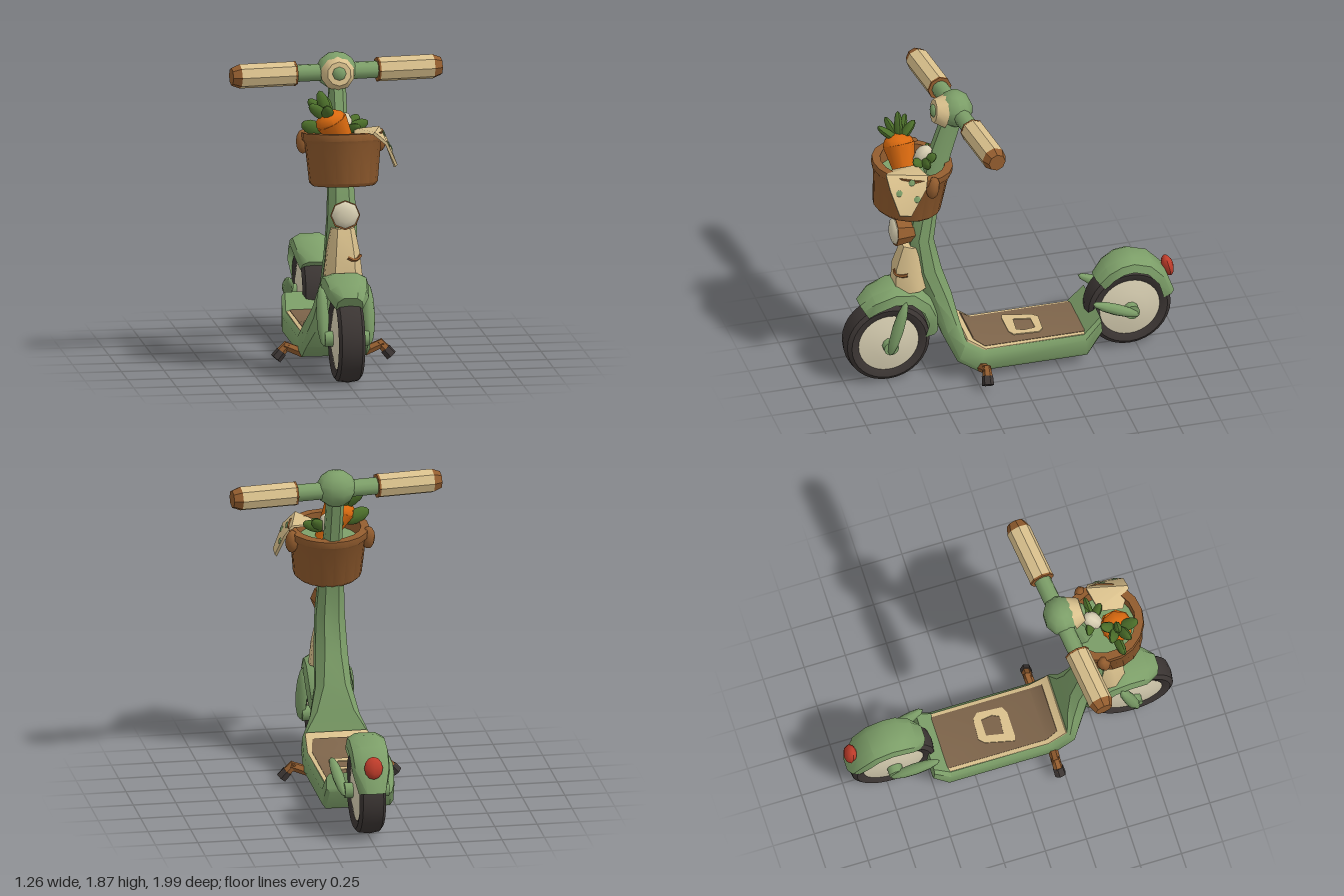
import * as THREE from 'three';
import { toCreasedNormals } from 'three/addons/utils/BufferGeometryUtils.js';

const V = (p) => new THREE.Vector3(...p);
const MIRROR = [-1, 1];

// Closed skin over cross-section rings; winding is fixed by signed volume.
function loft(rings) {
  const n = rings[0].length, pos = rings.flat(2), idx = [];
  for (let i = 0; i < rings.length - 1; i++) {
    for (let j = 0; j < n; j++) {
      const a = i * n + j, b = i * n + (j + 1) % n;
      idx.push(a, b, a + n, b, b + n, a + n);
    }
  }
  const last = (rings.length - 1) * n;
  for (let j = 1; j < n - 1; j++) {
    idx.push(0, j + 1, j, last, last + j, last + j + 1);
  }
  const p = (i) => new THREE.Vector3().fromArray(pos, i * 3);
  let volume = 0;
  for (let i = 0; i < idx.length; i += 3) volume += p(idx[i]).dot(p(idx[i + 1]).cross(p(idx[i + 2])));
  if (volume < 0) idx.reverse();
  const g = new THREE.BufferGeometry();
  g.setAttribute('position', new THREE.Float32BufferAttribute(pos, 3));
  g.setIndex(idx);
  return g;
}

// Bevelled rectangle between two [z, y] points, half width w.
function section(lo, hi, w, c = 0.1, b = 0.2) {
  const corners = [[-1, b], [c - 1, 0], [1 - c, 0], [1, b], [1, 1 - b], [1 - c, 1], [c - 1, 1], [-1, 1 - b]];
  return corners.map(([s, t]) => [s * w, lo[1] + (hi[1] - lo[1]) * t, lo[0] + (hi[0] - lo[0]) * t]);
}

// Arched mudguard following [z, y, halfWidth] points around an axle.
function fenderGeometry(path, axle, thick) {
  return loft(path.map(([z, y, w]) => {
    const n = new THREE.Vector2(z - axle[0], y - axle[1]).normalize();
    return [[-1, -1], [-0.9, -0.35], [-0.5, 0], [0.5, 0], [0.9, -0.35], [1, -1], [0.75, -0.7], [-0.75, -0.7]]
      .map(([s, d]) => [s * w, y + n.y * d * thick, z + n.x * d * thick]);
  }));
}

export function createModel() {
  const model = new THREE.Group();
  const mat = (name, color) => {
    const m = new THREE.MeshStandardMaterial({ color });
    m.name = name;
    return m;
  };
  const green = mat('sage green', 0x7c9e68), cream = mat('cream', 0xd9c08c);
  const brown = mat('basket brown', 0x925c2e), dark = mat('rubber', 0x3b3533);
  const ivory = mat('ivory', 0xd8cfb2), mud = mat('mat brown', 0x7d644a);
  const orange = mat('carrot orange', 0xdb6a0f), leaf = mat('leaf green', 0x4c6f2a);
  const red = mat('lamp red', 0xbe3c2a);

  const add = (name, geo, material, parent = model, crease = 0.7) => {
    const m = new THREE.Mesh(toCreasedNormals(geo, crease), material);
    m.name = name;
    parent.add(m);
    return m;
  };
  // Tapered pod stretched between two points.
  const pod = (name, a, b, r, material, flat = 1) => {
    const d = V(b).sub(V(a)), len = d.length();
    const m = add(name, new THREE.SphereGeometry(1, 8, 6).scale(r, len / 2, r * flat), material, model, 0.9);
    m.position.copy(V(a)).addScaledVector(d, 0.5);
    m.quaternion.setFromUnitVectors(new THREE.Vector3(0, 1, 0), d.normalize());
    return m;
  };
  const rod = (name, a, b, r0, r1, material, sides = 8) => {
    const d = V(b).sub(V(a));
    const m = add(name, new THREE.CylinderGeometry(r1, r0, d.length(), sides), material);
    m.position.copy(V(a)).addScaledVector(d, 0.5);
    m.quaternion.setFromUnitVectors(new THREE.Vector3(0, 1, 0), d.normalize());
    return m;
  };

  // Deck sweeping up into the steering column
  add('deckAndColumn', loft([
    section([-0.51, 0.19], [-0.5, 0.3], 0.2),
    section([-0.42, 0.06], [-0.4, 0.2], 0.21),
    section([0.24, 0.06], [0.2, 0.2], 0.21),
    section([0.36, 0.14], [0.31, 0.28], 0.2),
    section([0.43, 0.29], [0.335, 0.4], 0.145, 0.25, 0.25),
    section([0.5, 0.5], [0.365, 0.55], 0.105, 0.4, 0.3),
    section([0.59, 0.72], [0.42, 0.72], 0.095, 0.5, 0.3),
    section([0.61, 0.95], [0.465, 0.92], 0.085, 0.5, 0.3),
    section([0.57, 1.12], [0.44, 1.12], 0.075, 0.5, 0.3),
    section([0.475, 1.5], [0.36, 1.46], 0.05, 0.5, 0.3),
    section([0.4, 1.72], [0.29, 1.7], 0.05, 0.5, 0.3),
  ]), green);

  // Foot mat: cream border, brown field and worn ring
  add('matBorder', loft([
    section([-0.43, 0.19], [-0.43, 0.207], 0.185),
    section([0.2, 0.19], [0.19, 0.207], 0.19),
    section([0.31, 0.27], [0.3, 0.289], 0.185),
  ]), cream);
  add('matField', loft([
    section([-0.415, 0.2], [-0.415, 0.212], 0.165),
    section([0.2, 0.2], [0.188, 0.212], 0.165),
    section([0.265, 0.24], [0.255, 0.266], 0.15),
  ]), mud);
  const ring = new THREE.Shape([[-0.12, -0.01], [-0.08, 0.16], [-0.05, 0.19], [0.08, 0.18], [0.11, 0.15],
    [0.1, 0], [0.06, -0.02], [-0.09, -0.02]].map((p) => new THREE.Vector2(...p)));
  ring.holes.push(new THREE.Path([[-0.06, 0.04], [0.05, 0.03], [0.07, 0.07], [0.06, 0.14], [-0.04, 0.14]]
    .map((p) => new THREE.Vector2(...p))));
  add('matPatch', new THREE.ExtrudeGeometry(ring, { depth: 0.008, bevelEnabled: false })
    .rotateX(-Math.PI / 2).translate(0, 0.21, 0), cream);

  // Wheels
  const tyre = [[0.17, -0.055], [0.19, -0.07], [0.225, -0.078], [0.248, -0.06], [0.257, 0],
    [0.248, 0.06], [0.225, 0.078], [0.19, 0.07], [0.17, 0.055]].map((p) => new THREE.Vector2(...p));
  const disc = [[0, -0.085], [0.1, -0.08], [0.185, -0.062], [0.185, 0.062], [0.1, 0.08], [0, 0.085]]
    .map((p) => new THREE.Vector2(...p));
  for (const [name, z] of [['frontWheel', 0.743], ['rearWheel', -0.71]]) {
    const wheel = new THREE.Group();
    wheel.name = name;
    wheel.position.set(0, 0.262, z);
    wheel.rotation.z = Math.PI / 2;
    add('tyre', new THREE.LatheGeometry(tyre, 32), dark, wheel);
    add('wheelDisc', new THREE.LatheGeometry(disc, 32), ivory, wheel);
    add('axle', new THREE.CylinderGeometry(0.045, 0.045, 0.26, 10), green, wheel);
    model.add(wheel);
  }

  // Mudguards and tail lamp
  add('frontFender', fenderGeometry([[0.91, 0.53, 0.08], [0.84, 0.595, 0.12], [0.71, 0.64, 0.135],
    [0.59, 0.625, 0.14], [0.49, 0.54, 0.14], [0.44, 0.43, 0.13], [0.44, 0.28, 0.08]], [0.74, 0.26], 0.085), green);
  add('rearFender', fenderGeometry([[-0.51, 0.47, 0.08], [-0.57, 0.545, 0.105], [-0.65, 0.59, 0.115],
    [-0.73, 0.6, 0.115], [-0.84, 0.565, 0.115], [-0.93, 0.47, 0.11], [-0.985, 0.32, 0.08]], [-0.71, 0.26], 0.075), green);
  pod('tailLamp', [0, 0.535, -0.94], [0, 0.405, -0.97], 0.055, red, 0.65);

  for (const s of MIRROR) {
    // Fork legs and rear stays
    pod('forkLeg', [s * 0.135, 0.57, 0.655], [s * 0.135, 0.22, 0.755], 0.037, green);
    pod('rearStay', [s * 0.165, 0.385, -0.46], [s * 0.13, 0.24, -0.75], 0.035, green);
    // Bent feet with rubber tips
    rod('footUpper', [s * 0.18, 0.08, 0.22], [s * 0.29, 0.125, 0.21], 0.03, 0.027, brown, 6);
    rod('footLower', [s * 0.265, 0.135, 0.21], [s * 0.32, 0.075, 0.215], 0.025, 0.03, brown, 6);
    rod('footTip', [s * 0.305, 0.09, 0.215], [s * 0.34, 0.05, 0.22], 0.033, 0.035, dark, 6);
    // Basket lugs
    pod('basketLug', [s * 0.225, 1.46, 0.51], [s * 0.225, 1.32, 0.53], 0.04, brown);
  }

  // Front panel with a small curved mark, and headlamp
  add('frontPanel', loft([
    section([0.7, 0.61], [0.5, 0.61], 0.11, 0.45, 0.35),
    section([0.692, 0.75], [0.5, 0.75], 0.095, 0.45, 0.35),
    section([0.645, 0.89], [0.52, 0.89], 0.068, 0.45, 0.35),
  ]), cream);
  const mark = new THREE.CatmullRomCurve3([[0.015, 0.73, 0.694], [0.045, 0.715, 0.694], [0.075, 0.715, 0.665], [0.098, 0.73, 0.635]].map(V));
  add('panelMark', new THREE.TubeGeometry(mark, 8, 0.011, 5), brown);
  rod('lampShell', [0, 0.97, 0.56], [0, 0.98, 0.69], 0.06, 0.088, brown);
  pod('lampLens', [0, 0.98, 0.66], [0, 0.98, 0.72], 0.082, ivory);

  // Handlebar, turned slightly
  const bar = new THREE.Group();
  bar.name = 'handlebar';
  bar.position.set(0, 1.76, 0.32);
  bar.rotation.y = 0.12;
  model.add(bar);
  add('crossbar', new THREE.CylinderGeometry(0.05, 0.05, 0.56, 10).rotateZ(Math.PI / 2), green, bar);
  for (const s of MIRROR) {
    add('grip', new THREE.CylinderGeometry(0.072, 0.072, 0.33, 8).rotateZ(Math.PI / 2), cream, bar).position.x = s * 0.415;
    add('gripCap', new THREE.CylinderGeometry(s > 0 ? 0.072 : 0.052, s > 0 ? 0.052 : 0.072, 0.05, 8)
      .rotateZ(Math.PI / 2), brown, bar).position.x = s * 0.605;
    add('gripCuff', new THREE.CylinderGeometry(0.073, 0.073, 0.012, 8).rotateZ(Math.PI / 2), brown, bar).position.x = s * 0.25;
  }
  add('barHead', new THREE.SphereGeometry(0.12, 10, 7).scale(1, 0.92, 0.85), green).position.set(0, 1.768, 0.325);
  rod('badgeRim', [0, 1.76, 0.39], [0, 1.77, 0.455], 0.1, 0.07, cream, 10);
  pod('badgeCentre', [0, 1.77, 0.43], [0, 1.77, 0.475], 0.042, green);

  // Basket with lining
  const basket = new THREE.Group();
  basket.name = 'basket';
  basket.position.set(0, 1.145, 0.62);
  basket.rotation.x = -0.12;
  model.add(basket);
  const wall = [[0, 0], [0.18, 0], [0.2, 0.02], [0.222, 0.25], [0.238, 0.27], [0.238, 0.31],
    [0.19, 0.312], [0.18, 0.22], [0, 0.22]].map((p) => new THREE.Vector2(...p));
  add('basketBody', new THREE.LatheGeometry(wall, 18), brown, basket);
  add('basketLining', new THREE.CylinderGeometry(0.178, 0.178, 0.01, 18), green, basket).position.y = 0.225;

  // Carrot, radish and leaves
  rod('carrotBody', [0.03, 1.34, 0.63], [-0.075, 1.53, 0.645], 0.05, 0.095, orange, 9);
  pod('carrotCrown', [-0.055, 1.47, 0.645], [-0.1, 1.59, 0.645], 0.094, orange);
  for (const tip of [[-0.145, 1.71, 0.63], [-0.2, 1.65, 0.57], [-0.1, 1.66, 0.54], [-0.12, 1.64, 0.76], [-0.21, 1.64, 0.69]]) {
    pod('carrotLeaf', [-0.09, 1.54, 0.64], tip, 0.036, leaf, 0.7);
  }
  pod('sideLeaf', [-0.1, 1.46, 0.62], [-0.25, 1.52, 0.64], 0.045, leaf, 0.6);
  pod('radish', [0.0, 1.42, 0.56], [0.03, 1.55, 0.49], 0.05, ivory);
  for (const tip of [[0.16, 1.5, 0.52], [0.11, 1.53, 0.47], [0.1, 1.49, 0.6], [-0.07, 1.51, 0.47]]) {
    pod('radishLeaf', [0.03, 1.45, 0.53], tip, 0.035, leaf, 0.6);
  }

  // Cloth draped over the rim
  const rows = [[[0.06, 1.45, 0.72], [0.08, 1.47, 0.58]], [[0.16, 1.485, 0.785], [0.22, 1.475, 0.55]],
    [[0.235, 1.42, 0.78], [0.262, 1.41, 0.57]], [[0.3, 1.28, 0.74], [0.3, 1.265, 0.67]]];
  add('cloth', loft(rows.map(([a, b]) => [a, b, ...[b, a].map((p) => [p[0] - 0.012, p[1] - 0.012, p[2]])])), cream);
  for (const [y, z, x] of [[1.4, 0.73, 0.25], [1.36, 0.63, 0.278], [1.45, 0.65, 0.233]]) {
    const spot = add('clothSpot', new THREE.SphereGeometry(0.02, 8, 6).scale(0.3, 1, 1), green);
    spot.position.set(x, y, z);
    spot.rotation.z = 0.3;
  }
  return model;
}
